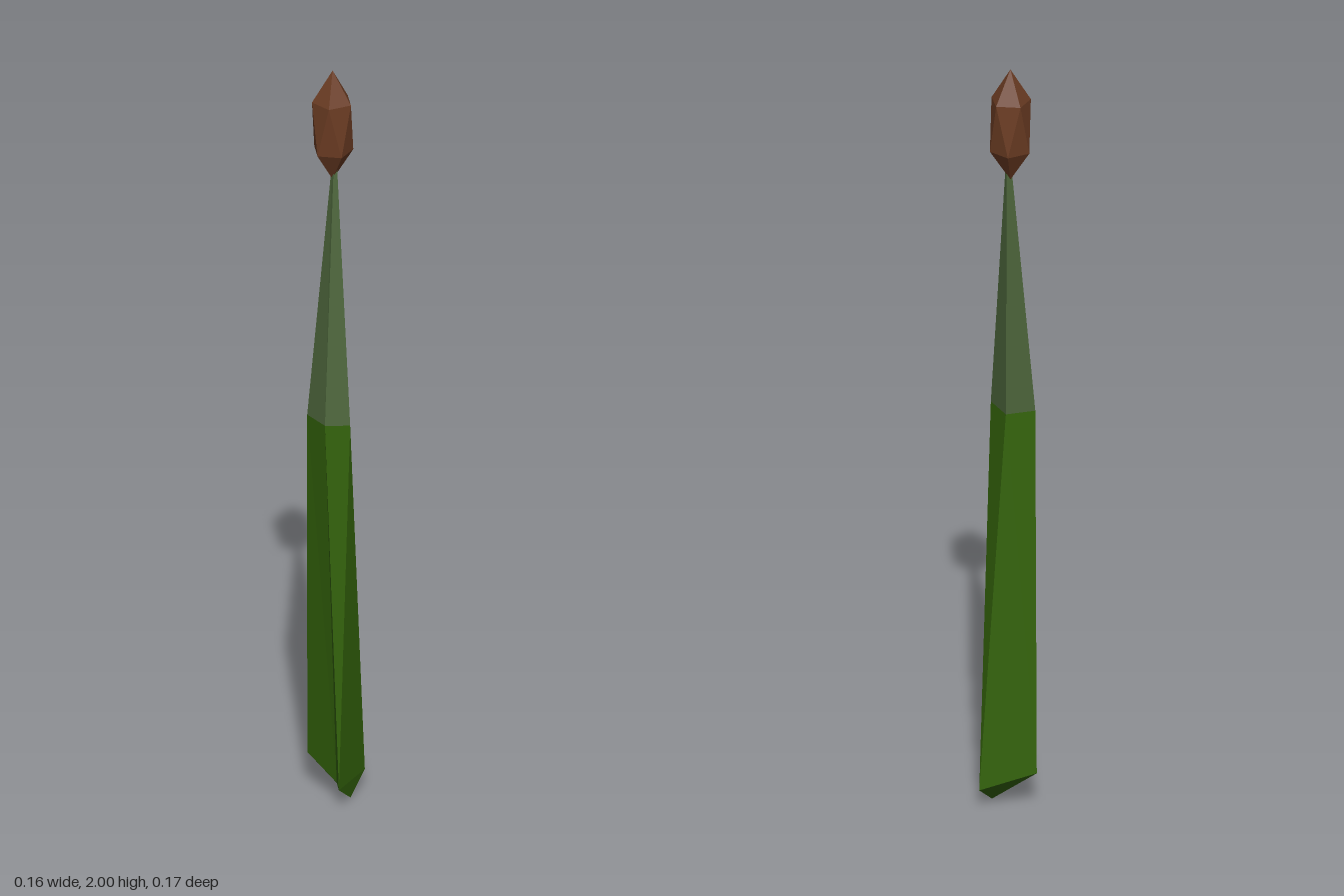
import * as THREE from 'three';

// Stack of rings, bottom to top; each ring is a list of [x, y, z] counterclockwise from above
function loft(name, rings, color) {
  const pos = [];
  const tri = (a, b, c) => {
    const [p, q, r] = [a, b, c].map((v) => new THREE.Vector3(...v));
    // skip triangles that collapse where a ring narrows to a point
    if (q.sub(p).cross(r.sub(p)).length() > 1e-9) pos.push(...a, ...b, ...c);
  };
  for (let k = 0; k + 1 < rings.length; k++) {
    const a = rings[k], b = rings[k + 1], n = a.length;
    for (let i = 0; i < n; i++) {
      const j = (i + 1) % n;
      tri(a[i], a[j], b[i]);
      tri(a[j], b[j], b[i]);
    }
  }
  const geo = new THREE.BufferGeometry();
  geo.setAttribute('position', new THREE.Float32BufferAttribute(pos, 3));
  geo.computeVertexNormals();
  const mesh = new THREE.Mesh(geo, new THREE.MeshStandardMaterial({ color, flatShading: true }));
  mesh.name = name;
  return mesh;
}

const point = (p, n) => Array(n).fill(p);

export function createModel() {
  const group = new THREE.Group();
  group.name = 'reed';

  // Four-sided stem: pointed root, base with one dented corner, kinked waist, thin top
  const root = point([0.01, 0.005, 0.038], 4);
  const base = [[-0.035, 0.06, 0.035], [-0.07, 0.065, 0.08], [0.078, 0.055, 0.018], [-0.023, 0.1, -0.084]];
  const waist = [[-0.08, 1.06, 0.04], [-0.034, 1.06, 0.083], [0, 1.06, 0], [-0.067, 1.06, -0.038]];
  const top = [[-0.012, 1.74, 0], [-0.006, 1.74, 0.006], [0.001, 1.74, -0.004], [-0.009, 1.74, -0.01]];
  group.add(loft('lowerStem', [root, base, waist], 0x33620a));
  group.add(loft('upperStem', [waist, top, point([-0.006, 1.75, -0.003], 4)], 0x4c653b));

  // Seed head: two offset pentagons between two points
  const cx = -0.008, cz = -0.008;
  const pentagon = (y, turn) => Array.from({ length: 5 }, (_, i) => {
    const t = turn + (i * Math.PI * 2) / 5;
    return [cx + 0.052 * Math.cos(t), y, cz - 0.052 * Math.sin(t)];
  });
  group.add(loft('seedHead', [
    point([cx, 1.7, cz], 5),
    pentagon(1.78, -Math.PI / 5),
    pentagon(1.915, 0),
    point([cx, 2, cz], 5),
  ], 0x6b3c23));
  return group;
}
